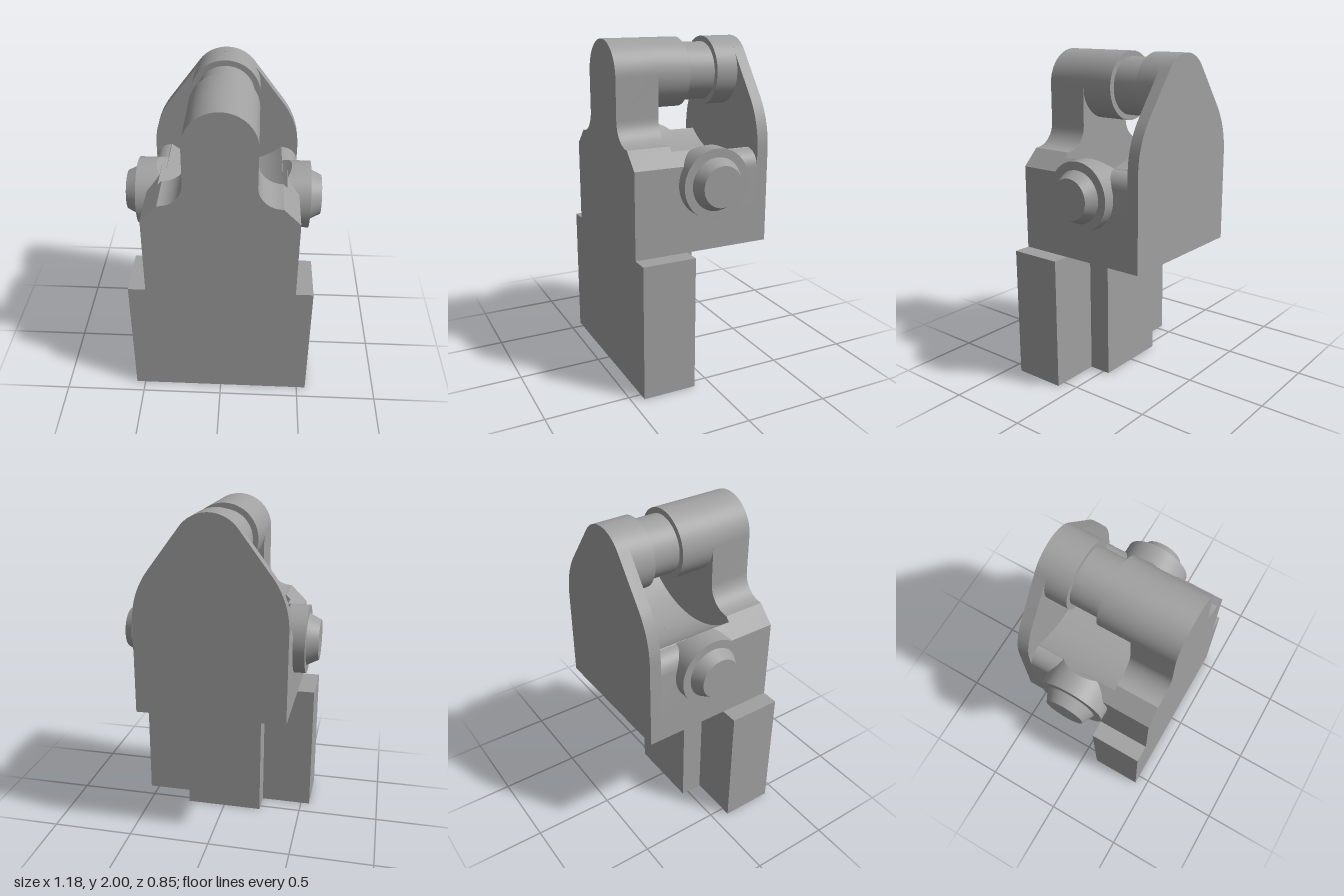
import * as THREE from 'three';
import { toCreasedNormals } from 'three/addons/utils/BufferGeometryUtils.js';

const SHAFT_Y = 1.795, SHAFT_R = 0.205, POCKET_R = 0.55, PIN_Y = 1.215, PIN_Z = -0.05;

export function createModel() {
  const group = new THREE.Group();
  const metal = new THREE.MeshStandardMaterial({ color: 0xa0a0a0 });
  metal.name = 'grey metal';

  const add = (name, geometry) => {
    const mesh = new THREE.Mesh(toCreasedNormals(geometry, 0.45), metal);
    mesh.name = name;
    group.add(mesh);
    return mesh;
  };
  const box = (name, w, y0, y1, z0, z1) =>
    add(name, new THREE.BoxGeometry(w, y1 - y0, z1 - z0).translate(0, (y0 + y1) / 2, (z0 + z1) / 2));

  // Points on an arc, angles in degrees
  const arc = (cx, cy, r, a0, a1, n) => Array.from({ length: n + 1 }, (_, i) => {
    const a = THREE.MathUtils.degToRad(a0 + (a1 - a0) * i / n);
    return [cx + r * Math.cos(a), cy + r * Math.sin(a)];
  });
  // Extrude a right-half outline (bottom to top), mirrored across x = 0
  const slab = (name, half, z0, z1) => {
    const mirrored = half.filter(p => p[0] > 1e-4).reverse().map(([x, y]) => [-x, y]);
    const shape = new THREE.Shape([...half, ...mirrored].map(p => new THREE.Vector2(...p)));
    add(name, new THREE.ExtrudeGeometry(shape, { depth: z1 - z0, bevelEnabled: false }).translate(0, 0, z0));
  };
  const pocket = (x, y) =>
    arc(0, SHAFT_Y, POCKET_R, THREE.MathUtils.radToDeg(Math.atan2(y - SHAFT_Y, x)), -90, 20);

  // Lower foot with a narrower rib behind it
  box('footPlate', 1.11, 0, 0.81, 0.1, 0.425);
  box('footRib', 0.48, 0, 0.815, -0.04, 0.1);

  // Front cheek: chamfered shoulders, filleted neck, round top
  slab('frontCheek', [
    [0.45, 0.81], [0.45, 1.32], [0.35, 1.42],
    ...arc(0.345, 1.56, 0.14, 270, 180, 12),
    ...arc(0, SHAFT_Y, SHAFT_R, 0, 90, 16),
  ], 0.165, 0.425);

  // Central block with a scooped floor; chamfered in front, rounded behind
  slab('blockFront', [[0.45, 0.81], [0.45, 1.32], ...pocket(0.383, 1.387)], PIN_Z, 0.165);
  slab('blockRear', [
    [0.45, 0.81], ...arc(0.35, 1.267, 0.1, 0, 88, 10), ...pocket(0.35, 1.37),
  ], -0.355, PIN_Z);

  // Tapering rear cheek
  slab('rearCheek', [
    [0.45, 0.81],
    ...arc(-0.05, 1.37, 0.5, 0, 36, 12),
    ...arc(0, SHAFT_Y, SHAFT_R, 36, 90, 12),
  ], -0.425, -0.355);

  // Upper shaft bosses and the slimmer neck between them
  const shaft = (name, r, z0, z1) => add(name,
    new THREE.CylinderGeometry(r, r, z1 - z0, 64).rotateX(Math.PI / 2).translate(0, SHAFT_Y, (z0 + z1) / 2));
  shaft('frontBoss', SHAFT_R, -0.04, 0.17);
  shaft('shaftNeck', 0.172, -0.225, -0.035);
  shaft('rearBoss', SHAFT_R, -0.36, -0.22);

  // Side pins, inner ends trimmed to the scooped floor
  const profile = [[0, 0.3], [0.05, 0.3], [0.1, 0.3], [0.15, 0.3], [0.18, 0.3], [SHAFT_R, 0.3],
    [SHAFT_R, 0.52], [0.155, 0.52], [0.12, 0.59], [0, 0.59]];
  for (const [name, turn] of [['leftPin', 0], ['rightPin', Math.PI]]) {
    const pin = new THREE.LatheGeometry(profile.map(p => new THREE.Vector2(...p)), 64).rotateZ(-Math.PI / 2);
    const pos = pin.attributes.position;
    for (let i = 0; i < pos.count; i++) {
      if (pos.getX(i) > 0.4) continue;
      const drop = SHAFT_Y - Math.max(pos.getY(i) + PIN_Y, 1.3);
      pos.setX(i, Math.sqrt(POCKET_R ** 2 - drop ** 2) + 0.004);
    }
    const mesh = add(name, pin);
    mesh.rotation.y = turn;
    mesh.position.set(0, PIN_Y, PIN_Z);
  }
  return group;
}
